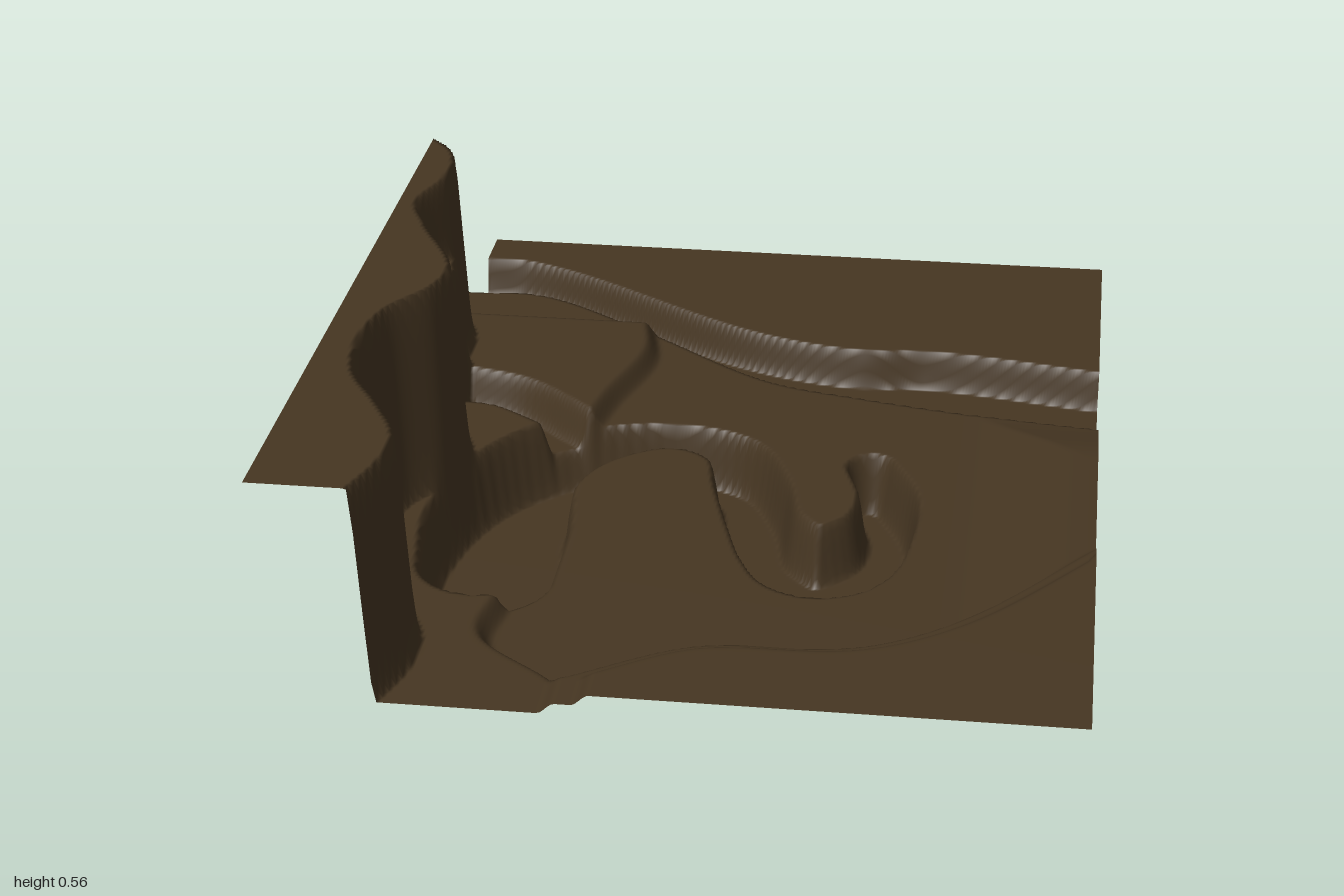
import * as THREE from 'three';

// Smooth edge v = f(t): returns the signed distance of (t, v) beyond it
function edge(...knots) {
  const spline = new THREE.CubicInterpolant(knots.map((k) => k[0]), knots.map((k) => k[1]), 1);
  const f = (t) => spline.evaluate(t)[0];
  return (t, v) => (v - f(t)) / Math.hypot(1, (f(t + 0.01) - f(t - 0.01)) / 0.02);
}

// Brush stroke along points (x, z, radius): returns the signed distance inside it
function stroke(...knots) {
  const path = new THREE.CatmullRomCurve3(knots.map((k) => new THREE.Vector3(...k)));
  const pts = path.getPoints(knots.length * 6);
  return (x, z) => {
    let best = -Infinity;
    for (let i = 1; i < pts.length; i++) {
      const a = pts[i - 1], b = pts[i];
      const ex = b.x - a.x, ez = b.y - a.y;
      const along = ((x - a.x) * ex + (z - a.y) * ez) / (ex * ex + ez * ez);
      const t = THREE.MathUtils.clamp(along, 0, 1);
      const d = Math.hypot(x - a.x - ex * t, z - a.y - ez * t);
      best = Math.max(best, a.z + (b.z - a.z) * t - d);
    }
    return best;
  };
}

// Edges running across the land, z as a function of x
const riverFront = edge([-0.68, -0.65], [-0.5, -0.65], [-0.25, -0.5], [0.02, -0.31], [0.2, -0.26], [0.68, -0.17]);
const riverBack = edge([-0.68, -0.89], [-0.58, -0.88], [-0.03, -0.58], [0.18, -0.53], [0.32, -0.54], [0.68, -0.485]);
const plainEdge = edge([-0.2, 0.91], [0, 0.79], [0.3, 0.75], [0.45, 0.65], [0.68, 0.38]);

// Edges running front to back, x as a function of z
const bankEdge = edge([-0.48, -0.25], [-0.35, -0.23], [-0.15, -0.28], [0, -0.31], [0.3, -0.4],
  [0.62, -0.35], [0.77, -0.35], [0.9, -0.2], [1, -0.15]);
const cliffEdge = edge([-0.5, -0.75], [-0.45, -0.68], [-0.38, -0.62], [-0.25, -0.605], [-0.12, -0.635],
  [-0.03, -0.6], [0.16, -0.51], [0.25, -0.525], [0.36, -0.59], [0.58, -0.59], [0.7, -0.52],
  [0.8, -0.47], [0.9, -0.47], [1, -0.5]);

// Water courses and the step in the cliff
const spring = stroke([-0.58, -0.14, 0.06], [-0.48, -0.12, 0.05], [-0.35, -0.03, 0.04]);
const pool = stroke([-0.4, 0.525, 0.11], [-0.41, 0.35, 0.12], [-0.39, 0.15, 0.085], [-0.3, 0.02, 0.06],
  [-0.14, -0.045, 0.035], [-0.02, 0, 0.045], [0.03, 0.12, 0.06], [0.07, 0.26, 0.06], [0.14, 0.37, 0.09],
  [0.19, 0.4, 0.11], [0.28, 0.26, 0.06], [0.29, 0.14, 0.045], [0.25, 0.03, 0.035]);
const ledge = stroke([-0.64, -0.2, 0.055], [-0.62, -0.07, 0.05]);

// Terrain layers, later ones override earlier ones: level, slope width, distance inside
const layers = [
  // western bank
  [0.16, 0.03, (x, z) => Math.min(-bankEdge(z, x), z + 0.47)],
  // gentle eastern rise
  [0.16, 0.24, (x, z) => Math.min(x - 0.54, z + 0.1)],
  // front plain in two steps
  [0.18, 0.03, (x, z) => Math.min(plainEdge(x, z), x + 0.205)],
  [0.2, 0.03, (x, z) => Math.min(plainEdge(x, z) - 0.04, x + 0.148)],
  // river valley and the plain behind it
  [0, 0.025, (x, z) => -riverFront(x, z)],
  [0.08, 0.02, (x, z) => -riverBack(x, z)],
  // water courses
  [0.08, 0.03, spring],
  [0, 0.025, pool],
  // cliff
  [0.4, 0.02, ledge],
  [0.56, 0.025, (x, z) => -cliffEdge(z, x)],
];

function heightAt(x, z) {
  let h = 0.12;
  for (const [level, width, inside] of layers) {
    h += (level - h) * THREE.MathUtils.smoothstep(inside(x, z), -width / 2, width / 2);
  }
  return h;
}

export function createModel() {
  const group = new THREE.Group();
  group.name = 'landscape';

  // One open sheet, raised by the layers
  const geometry = new THREE.PlaneGeometry(1.36, 2, 210, 310);
  geometry.rotateX(-Math.PI / 2);
  const pos = geometry.attributes.position;
  for (let i = 0; i < pos.count; i++) pos.setY(i, heightAt(pos.getX(i), pos.getZ(i)));
  geometry.computeVertexNormals();

  const terrain = new THREE.Mesh(
    geometry,
    new THREE.MeshStandardMaterial({ color: 0x463622, side: THREE.DoubleSide })
  );
  terrain.name = 'terrain';
  group.add(terrain);
  return group;
}
